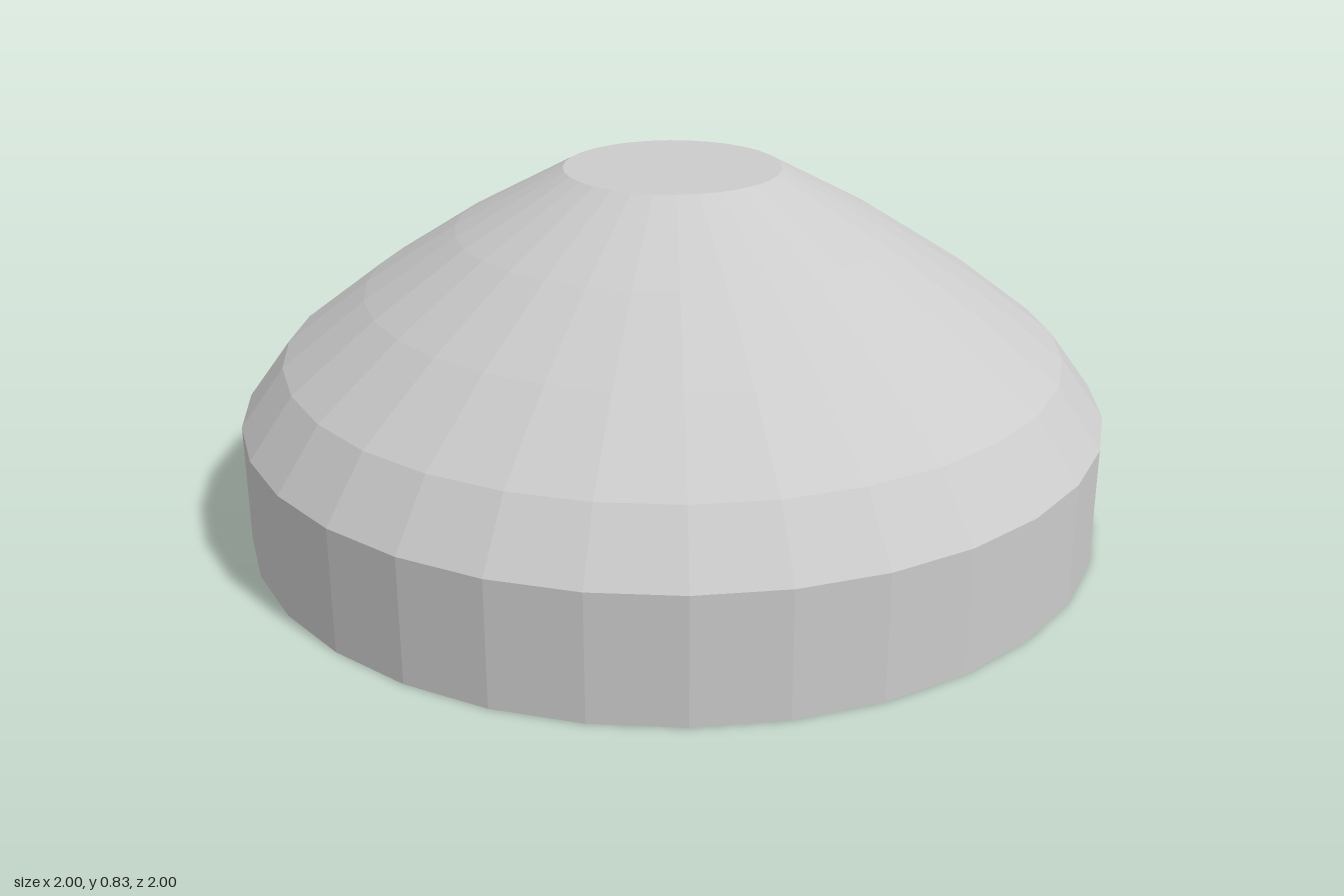
import * as THREE from 'three';

const SIDES = 32;

export function createModel() {
  const group = new THREE.Group();
  group.name = 'domedCap';
  const material = new THREE.MeshStandardMaterial({ color: 0xcccccc, flatShading: true });

  // Closed profile [radius, height]: down the hollow inside, across the rim, up the outside
  const inside = [[0, 0.79], [0.23, 0.79], [0.455, 0.685], [0.65, 0.55], [0.82, 0.41], [0.91, 0.28], [0.91, 0]];
  const outside = [[1, 0], [1, 0.28], [0.9, 0.415], [0.71, 0.56], [0.5, 0.695], [0.25, 0.83], [0, 0.83]];
  const profile = [...inside, ...outside].map(([r, y]) => new THREE.Vector2(r, y));

  const shell = new THREE.Mesh(new THREE.LatheGeometry(profile, SIDES), material);
  shell.name = 'hollowShell';
  group.add(shell);
  return group;
}
